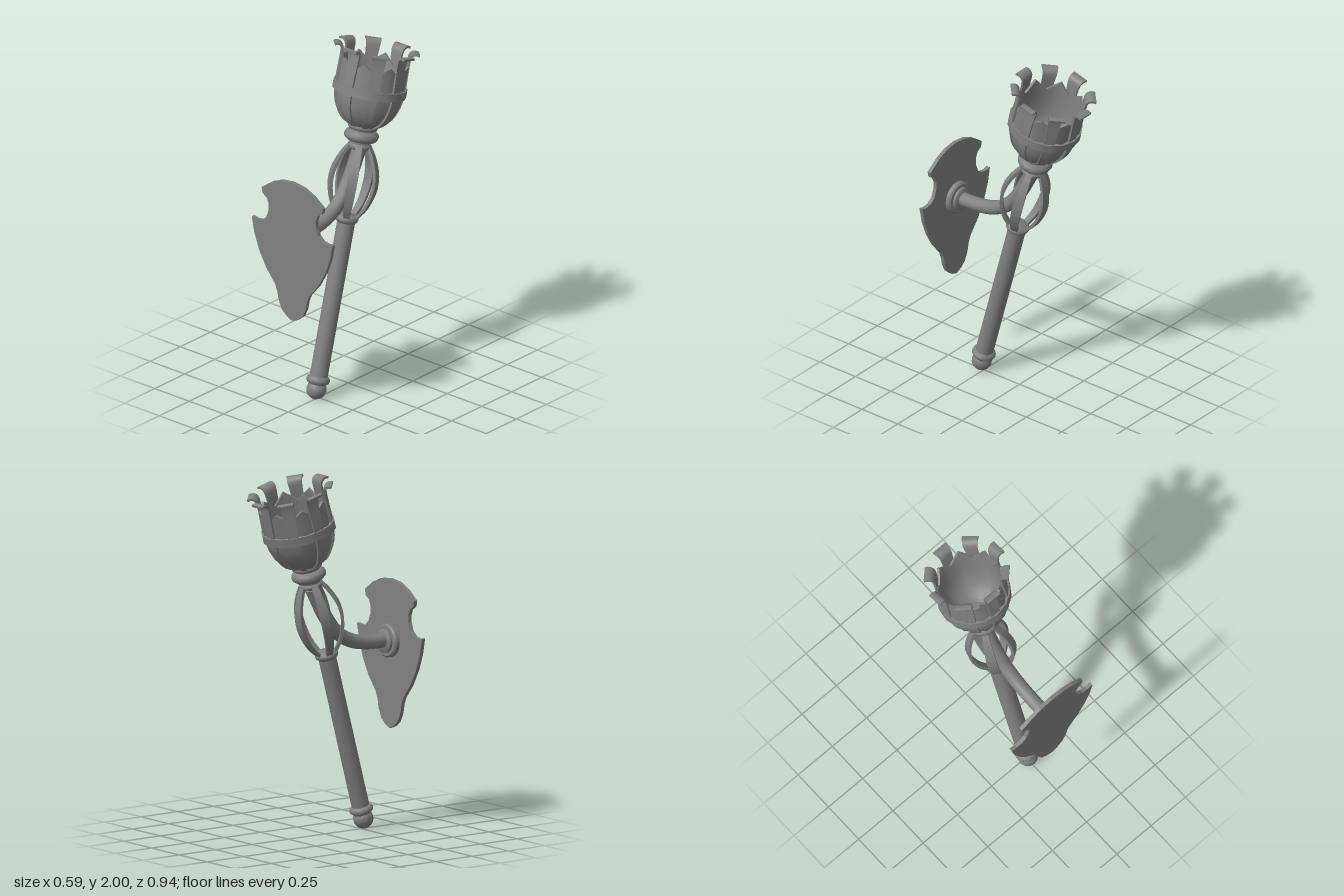
import * as THREE from 'three';
import { toCreasedNormals } from 'three/addons/utils/BufferGeometryUtils.js';

const material = new THREE.MeshStandardMaterial({ color: 0x808080 });

function add(parent, name, geometry) {
  const mesh = new THREE.Mesh(geometry, material);
  mesh.name = name;
  parent.add(mesh);
  return mesh;
}

// Turned part from [radius, height] pairs, running upwards on the outside
function turned(points, segments = 16, crease = 0.7) {
  const profile = points.map(([r, y]) => new THREE.Vector2(r, y));
  return toCreasedNormals(new THREE.LatheGeometry(profile, segments), crease);
}

// Rounded ring bead
function bead(radius, y, height, inner = 0.03) {
  const h = height / 2;
  const b = radius - h * 0.7;
  return turned([[inner, y - h], [b, y - h], [radius - h * 0.2, y - h * 0.55], [radius, y],
    [radius - h * 0.2, y + h * 0.55], [b, y + h], [inner, y + h]], 16, 1);
}

// Flat metal strip bent along a curve of [radius, height, half width]
function strip(points, thickness, steps) {
  const curve = new THREE.CatmullRomCurve3(points.map(p => new THREE.Vector3(...p)));
  const geometry = new THREE.BoxGeometry(2, 1, 1, 1, steps, 1);
  const pos = geometry.attributes.position;
  for (let i = 0; i < pos.count; i++) {
    const t = THREE.MathUtils.clamp(pos.getY(i) + 0.5, 0, 1);
    const p = curve.getPoint(t);
    const d = curve.getTangent(t);
    const len = Math.hypot(d.x, d.y);
    const off = pos.getZ(i) * thickness;
    pos.setXYZ(i, pos.getX(i) * p.z, p.y - (d.x / len) * off, p.x + (d.y / len) * off);
  }
  geometry.computeVertexNormals();
  return geometry;
}

// Repeat a geometry around the torch axis
function around(parent, name, geometry, count, start = 0) {
  for (let i = 0; i < count; i++) {
    add(parent, name, geometry).rotation.y = start + (i / count) * Math.PI * 2;
  }
}

// Eight-sided bowl whose rim rises to a point at every corner
function bowl() {
  const profile = [[0, 1.51], [0.085, 1.51], [0.13, 1.54], [0.165, 1.588], [0.188, 1.65], [0.196, 1.73],
    [0.196, 1.8], [0.198, 1.885], [0.182, 1.885], [0.18, 1.8], [0.178, 1.73], [0.17, 1.66],
    [0.148, 1.605], [0.115, 1.565], [0.09, 1.55], [0.072, 1.53], [0, 1.53]];
  const geometry = new THREE.LatheGeometry(profile.map(([r, y]) => new THREE.Vector2(r, y)), 16);
  const pos = geometry.attributes.position;
  const flat = Math.cos(Math.PI / 8);
  for (let i = 0; i < pos.count; i++) {
    if (Math.floor(i / profile.length) % 2) continue;
    const y = pos.getY(i);
    pos.setXYZ(i, pos.getX(i) * flat, y > 1.85 ? 1.83 : y, pos.getZ(i) * flat);
  }
  return toCreasedNormals(geometry, 0.82);
}

// Shield outline, one half mirrored to the other
function shield() {
  const half = [[0.08, 1.36], [0.15, 1.33], [0.222, 1.278], [0.215, 1.245], [0.185, 1.225], [0.17, 1.19],
    [0.172, 1.15], [0.19, 1.105], [0.22, 1.08], [0.255, 1.073], [0.293, 1.08], [0.275, 0.99],
    [0.24, 0.895], [0.19, 0.805], [0.125, 0.725], [0.108, 0.685], [0.098, 0.635], [0.075, 0.585],
    [0.04, 0.555]];
  const mirrored = half.map(([x, y]) => [-x, y]).reverse();
  const outline = [[0, 1.37], ...half, [0, 0.537], ...mirrored];
  const shape = new THREE.Shape(outline.map(([x, y]) => new THREE.Vector2(x, y)));
  return new THREE.ExtrudeGeometry(shape, { depth: 0.022, bevelEnabled: false });
}

export function createModel() {
  const model = new THREE.Group();
  model.name = 'wallTorch';

  // Torch, built upright and leaned back
  const torch = new THREE.Group();
  torch.name = 'torch';
  torch.position.set(0, 0.056, 0.265);
  torch.rotation.x = -THREE.MathUtils.degToRad(15);
  model.add(torch);

  // Handle
  add(torch, 'endBall', new THREE.SphereGeometry(0.056, 16, 12));
  add(torch, 'lowerCollar', bead(0.067, 0.055, 0.045));
  const shaft = add(torch, 'shaft', new THREE.CylinderGeometry(0.05, 0.05, 0.94, 16));
  shaft.position.y = 0.51;
  add(torch, 'upperCollar', bead(0.066, 0.975, 0.045, 0));

  // Open cage of five bowed strips
  const cageBar = strip([[0.05, 0.985, 0.018], [0.095, 1.05, 0.022], [0.128, 1.16, 0.027],
    [0.124, 1.25, 0.027], [0.09, 1.34, 0.022], [0.052, 1.4, 0.017]], 0.017, 14);
  around(torch, 'cageBar', cageBar, 5, Math.PI / 5);

  // Neck
  add(torch, 'neckCollar', bead(0.068, 1.39, 0.035, 0));
  add(torch, 'neckCore', new THREE.CylinderGeometry(0.072, 0.055, 0.14, 16)).position.y = 1.45;
  add(torch, 'neckKnob', bead(0.098, 1.45, 0.06));
  add(torch, 'neckRing', bead(0.086, 1.502, 0.034));

  // Bowl, band and flared straps
  add(torch, 'bowl', bowl());
  add(torch, 'band', turned([[0.18, 1.695], [0.206, 1.695], [0.206, 1.742], [0.18, 1.742], [0.18, 1.695]]));
  const strap = strip([[0.082, 1.512, 0.016], [0.125, 1.54, 0.02], [0.158, 1.588, 0.024], [0.18, 1.65, 0.027],
    [0.188, 1.73, 0.03], [0.187, 1.82, 0.033], [0.186, 1.9, 0.037], [0.191, 1.932, 0.041],
    [0.21, 1.947, 0.044], [0.236, 1.944, 0.046]], 0.012, 22);
  around(torch, 'strap', strap, 8);

  // Bent arm from the wall plate up into the cage
  const path = new THREE.CatmullRomCurve3([[1.03, 0.42], [1.033, 0.3], [1.057, 0.18], [1.115, 0.08],
    [1.215, 0], [1.38, -0.09]].map(([y, z]) => new THREE.Vector3(0, y, z)));
  add(model, 'arm', new THREE.TubeGeometry(path, 24, 0.04, 12));

  // Shield-shaped wall plate and its stepped boss
  add(model, 'shieldPlate', shield()).position.z = 0.445;
  const boss = add(model, 'boss', turned([[0, -0.05], [0.055, -0.05], [0.066, -0.043], [0.066, -0.03],
    [0.084, -0.03], [0.093, -0.022], [0.093, 0.005], [0, 0.005]], 20));
  boss.position.set(0, 1.027, 0.445);
  boss.rotation.x = Math.PI / 2;

  return model;
}
